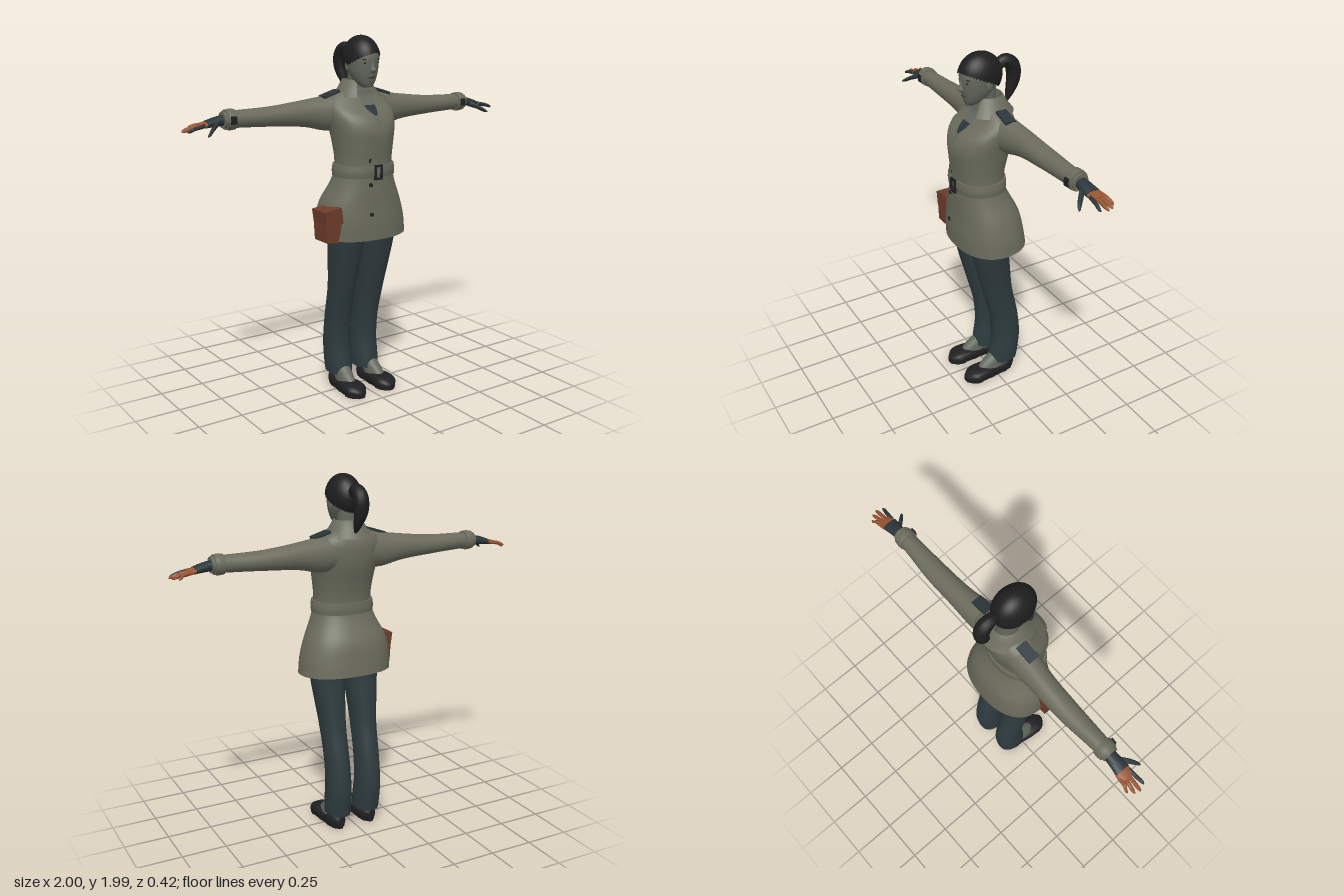
import * as THREE from 'three';
import { toCreasedNormals } from 'three/addons/utils/BufferGeometryUtils.js';

const mat = (name, color, side = THREE.FrontSide) => {
  const m = new THREE.MeshStandardMaterial({ color, side });
  m.name = name;
  return m;
};

// Smooth interpolation of sections [t, centreA, centreB, radiusA, radiusB]
const spline = (secs) =>
  new THREE.CubicInterpolant(secs.map((s) => s[0]), secs.flatMap((s) => s.slice(1)), 4);

// Skin through superellipse rings along 'x', 'y' or 'z'; side -1 mirrors in x
function loft(axis, secs, { n = 2, caps = true, side = 1, rows = secs.length * 4, seg = 28, rule } = {}) {
  const pos = [], idx = [], f = spline(secs), t0 = secs[0][0], t1 = secs.at(-1)[0];
  const put = (t, a, b) => {
    const p = axis === 'x' ? [t, a, b] : axis === 'y' ? [a, t, b] : [a, b, t];
    if (rule) rule(p);
    pos.push(p[0] * side, p[1], p[2]);
  };
  const flip = (axis === 'y') !== (side < 0);
  const tri = (a, b, c) => idx.push(a, ...(flip ? [c, b] : [b, c]));
  const pow = (v) => Math.sign(v) * Math.abs(v) ** (2 / n);
  for (let i = 0; i <= rows; i++) {
    const t = t0 + ((t1 - t0) * i) / rows, [a, b, ra, rb] = f.evaluate(t);
    for (let j = 0; j < seg; j++) {
      const w = (j / seg) * Math.PI * 2;
      put(t, a + ra * pow(Math.cos(w)), b + rb * pow(Math.sin(w)));
      if (i === rows) continue;
      const p = i * seg + j, q = i * seg + ((j + 1) % seg);
      tri(p, q, q + seg);
      tri(p, q + seg, p + seg);
    }
  }
  if (caps) {
    const c = pos.length / 3, last = rows * seg;
    put(t0, secs[0][1], secs[0][2]);
    put(t1, secs.at(-1)[1], secs.at(-1)[2]);
    for (let j = 0; j < seg; j++) {
      const k = (j + 1) % seg;
      tri(c, k, j);
      tri(c + 1, last + j, last + k);
    }
  }
  const g = new THREE.BufferGeometry();
  g.setAttribute('position', new THREE.Float32BufferAttribute(pos, 3));
  g.setIndex(idx);
  return toCreasedNormals(g, 1);
}

const COAT = [
  [0.915, 0.01, 0.01, 0.262, 0.19], [1.0, 0.005, 0.015, 0.256, 0.185], [1.1, 0, 0.022, 0.232, 0.172],
  [1.2, 0, 0.045, 0.185, 0.145], [1.26, 0, 0.055, 0.165, 0.132], [1.33, 0, 0.055, 0.158, 0.132],
  [1.42, 0, 0.05, 0.166, 0.145], [1.5, 0, 0.04, 0.178, 0.157], [1.57, 0, 0.02, 0.19, 0.147],
  [1.63, 0, -0.012, 0.19, 0.112], [1.67, 0, -0.022, 0.16, 0.088], [1.71, 0, -0.015, 0.085, 0.07],
];
const N = 2.3, coatCurve = spline(COAT);
const frontZ = (x, y) => {
  const [cx, cz, rx, rz] = coatCurve.evaluate(y);
  return cz + rz * Math.max(0, 1 - Math.abs((x - cx) / rx) ** N) ** (1 / N);
};

// Thin cloth patch lying on the coat front; rows are [y, xLeft, xRight], top to bottom
function drape(rows, lift) {
  const g = new THREE.PlaneGeometry(1, 1, 8, 24), p = g.attributes.position, uv = g.attributes.uv;
  for (let i = 0; i < p.count; i++) {
    const t = (1 - uv.getY(i)) * (rows.length - 1), k = Math.min(rows.length - 2, Math.floor(t));
    const [y, a, b] = rows[k].map((v, m) => THREE.MathUtils.lerp(v, rows[k + 1][m], t - k));
    const x = THREE.MathUtils.lerp(a, b, uv.getX(i));
    p.setXYZ(i, x, y, frontZ(x, y) + lift);
  }
  g.computeVertexNormals();
  return g;
}

export function createModel() {
  const root = new THREE.Group();
  const coat = mat('coat cloth', 0x6a6b5c, THREE.DoubleSide);
  const skin = mat('skin', 0x63685d, THREE.DoubleSide);
  const trouser = mat('trouser cloth', 0x2e3b3f);
  const slate = mat('slate cloth', 0x2b3539, THREE.DoubleSide);
  const hair = mat('hair', 0x1e1e1f, THREE.DoubleSide);
  const dark = mat('dark leather', 0x202022);
  const brown = mat('brown leather', 0x6e3c2b);
  const warm = mat('hand skin', 0x96532f);
  const lip = mat('lips', 0x4b4038);
  const add = (name, geo, m, x = 0, y = 0, z = 0) => {
    const mesh = new THREE.Mesh(geo, m);
    mesh.name = name;
    mesh.position.set(x, y, z);
    root.add(mesh);
    return mesh;
  };

  // Coat, belt, collar and lapels
  add('coat', loft('y', COAT, { n: N, caps: false, seg: 48, rule: (p) => {
    if (p[1] < 1) p[1] -= (1 - p[1]) * p[2] * 0.6;
  } }), coat);
  add('belt', loft('y', [[1.245, 0, 0.055, 0.172, 0.138], [1.275, 0, 0.056, 0.174, 0.142],
    [1.31, 0, 0.056, 0.168, 0.14]], { n: N, seg: 40 }), coat);
  add('collar', new THREE.LatheGeometry([[0.066, 1.68], [0.066, 1.745], [0.076, 1.755], [0.1, 1.71], [0.135, 1.665]]
    .map((p) => new THREE.Vector2(...p)), 32, 0.55, Math.PI * 2 - 1.1), coat, 0, 0, -0.012);
  add('neckline', drape([[1.7, -0.05, 0.05], [1.62, -0.045, 0.05], [1.52, -0.005, 0.012]], 0.005), skin);
  add('scarf', drape([[1.625, -0.035, 0.035], [1.605, -0.03, 0.03], [1.575, -0.004, 0.012]], 0.009), slate);
  add('rightLapel', drape([[1.69, -0.085, -0.048], [1.6, -0.14, -0.036], [1.47, -0.01, 0.03]], 0.012), coat);
  add('leftLapel', drape([[1.69, 0.048, 0.085], [1.6, 0.04, 0.145], [1.47, -0.005, 0.055], [1.33, -0.05, -0.03]], 0.014), coat);
  add('frontFlap', drape([[1.24, -0.045, 0.06], [0.93, -0.045, 0.06]], 0.006), coat);

  // Buckle and buttons
  const frame = new THREE.Shape([[-0.024, -0.04], [0.024, -0.04], [0.024, 0.04], [-0.024, 0.04]]
    .map((p) => new THREE.Vector2(...p)));
  frame.holes.push(new THREE.Path([[-0.014, -0.029], [-0.014, 0.029], [0.014, 0.029], [0.014, -0.029]]
    .map((p) => new THREE.Vector2(...p))));
  add('buckle', new THREE.ExtrudeGeometry(frame, { depth: 0.012, bevelEnabled: false }), dark, 0, 1.275, 0.194);
  for (const y of [1.34, 1.21, 1.05]) {
    const b = new THREE.CylinderGeometry(0.011, 0.011, 0.008, 12).rotateX(Math.PI / 2);
    add('button', b, dark, -0.045, y, frontZ(-0.045, y) + 0.008);
  }

  // Bag on the right hip
  const bag = new THREE.BoxGeometry(0.095, 0.17, 0.125, 1, 2, 1), bp = bag.attributes.position;
  for (let i = 0; i < bp.count; i++) if (bp.getY(i) < -0.05) bp.setX(i, bp.getX(i) * 0.75);
  bag.computeVertexNormals();
  add('bag', bag, brown, -0.247, 0.995, 0.08).rotation.z = -0.08;
  add('bagFlap', new THREE.BoxGeometry(0.105, 0.09, 0.132), brown, -0.245, 1.045, 0.08).rotation.z = 0.14;

  // Head, neck and face
  add('neck', loft('y', [[1.62, 0, 0, 0.06, 0.07], [1.7, 0, 0, 0.05, 0.055], [1.8, 0, 0.005, 0.052, 0.06]]), skin);
  add('head', loft('y', [[1.718, 0, 0.09, 0.022, 0.028], [1.735, 0, 0.075, 0.042, 0.05], [1.78, 0, 0.056, 0.066, 0.08],
    [1.83, 0, 0.043, 0.078, 0.1], [1.88, 0, 0.038, 0.081, 0.106], [1.94, 0, 0.035, 0.066, 0.085]], { n: 2.2 }), skin);
  add('nose', loft('y', [[1.795, 0, 0.138, 0.014, 0.012], [1.808, 0, 0.145, 0.016, 0.02],
    [1.83, 0, 0.14, 0.009, 0.014], [1.86, 0, 0.138, 0.007, 0.008]], { seg: 12 }), skin);
  add('lips', new THREE.SphereGeometry(1, 12, 8).scale(0.022, 0.008, 0.008), lip, 0, 1.773, 0.132);
  for (const s of [1, -1]) {
    add('eye', new THREE.SphereGeometry(1, 12, 8).scale(0.014, 0.006, 0.005), dark, s * 0.034, 1.848, 0.131);
    add('eyebrow', new THREE.BoxGeometry(0.034, 0.006, 0.008), hair, s * 0.036, 1.866, 0.132).rotation.y = s * 0.35;
    add('ear', new THREE.SphereGeometry(1, 12, 10).scale(0.009, 0.028, 0.017), skin, s * 0.083, 1.83, 0.025);
  }

  // Hair cap: short at the swept fringe, long at the nape
  const cap = new THREE.SphereGeometry(1, 40, 24), cp = cap.attributes.position;
  for (let i = 0; i < cp.count; i++) {
    const phi = cap.attributes.uv.getX(i) * Math.PI * 2, c = Math.cos(phi), s = Math.sin(phi);
    const th = (1 - cap.attributes.uv.getY(i)) * (1.82 - 0.47 * s + 0.1 * c);
    cp.setXYZ(i, -c * Math.sin(th) * 0.093, Math.cos(th) * 0.122, s * Math.sin(th) * 0.122);
  }
  cap.computeVertexNormals();
  add('hairCap', cap, hair, 0, 1.866, 0.035);
  const path = new THREE.CatmullRomCurve3([[0, 1.89, -0.06], [0, 1.915, -0.11], [0, 1.885, -0.155], [0, 1.82, -0.165],
    [0.005, 1.755, -0.145], [0.01, 1.69, -0.115]].map((p) => new THREE.Vector3(...p)));
  const tail = new THREE.TubeGeometry(path, 30, 1, 14), tp = tail.attributes.position, v = new THREE.Vector3();
  for (let i = 0; i < tp.count; i++) {
    const t = Math.floor(i / 15) / 30, c = path.getPointAt(t);
    v.fromBufferAttribute(tp, i).sub(c).multiplyScalar(0.004 + 0.036 * Math.sin(Math.PI * (0.15 + 0.85 * t)) ** 0.8).add(c);
    tp.setXYZ(i, v.x, v.y, v.z);
  }
  tail.computeVertexNormals();
  add('ponytail', tail, hair);
  add('hairTie', new THREE.TorusGeometry(0.022, 0.009, 8, 18), dark, 0, 1.9, -0.083);

  // Arms, hands, legs and feet, mirrored
  for (const side of [1, -1]) {
    const tag = side > 0 ? 'left' : 'right';
    const part = (name, axis, secs, m, o) => add(tag + name, loft(axis, secs, { side, ...o }), m);
    part('Sleeve', 'x', [[0.1, 1.585, -0.025, 0.1, 0.085], [0.19, 1.58, -0.035, 0.093, 0.075], [0.3, 1.585, -0.045, 0.073, 0.064],
      [0.5, 1.583, -0.05, 0.053, 0.058], [0.7, 1.585, -0.046, 0.045, 0.046], [0.785, 1.585, -0.046, 0.042, 0.043]], coat);
    part('CuffStrap', 'x', [[0.72, 1.585, -0.046, 0.052, 0.052], [0.745, 1.585, -0.046, 0.054, 0.054],
      [0.77, 1.585, -0.046, 0.051, 0.051]], coat);
    add(tag + 'CuffBuckle', new THREE.BoxGeometry(0.03, 0.04, 0.01), dark, side * 0.745, 1.585, 0.008);
    add(tag + 'Epaulette', new THREE.BoxGeometry(0.1, 0.014, 0.06), slate, side * 0.165, 1.682, -0.02).rotation.z = -side * 0.3;
    part('Wrist', 'x', [[0.77, 1.585, -0.048, 0.028, 0.032], [0.83, 1.577, -0.05, 0.024, 0.036],
      [0.875, 1.568, -0.052, 0.018, 0.042]], slate);
    part('Palm', 'x', [[0.87, 1.569, -0.054, 0.016, 0.04], [0.89, 1.565, -0.055, 0.015, 0.042],
      [0.915, 1.56, -0.055, 0.012, 0.04]], warm);
    part('Thumb', 'x', [[0.82, 1.57, -0.03, 0.017, 0.018], [0.86, 1.55, 0.008, 0.013, 0.016],
      [0.89, 1.53, 0.034, 0.01, 0.011], [0.905, 1.522, 0.044, 0.004, 0.005]], slate, { seg: 12 });
    [[-0.086, -0.1, 0.965], [-0.065, -0.076, 0.99], [-0.044, -0.048, 1], [-0.024, -0.014, 0.985]].forEach(([z0, z1, x], i) => {
      part('Finger', 'x', [[0.89, 1.565, z0, 0.011, 0.011], [0.94, 1.556, (z0 + z1) / 2, 0.01, 0.01],
        [x - 0.012, 1.545, z1, 0.008, 0.008], [x, 1.541, z1, 0.003, 0.003]], i < 3 ? warm : slate, { seg: 10 });
    });
    part('Trouser', 'y', [[0.085, 0.09, -0.06, 0.068, 0.088], [0.13, 0.091, -0.064, 0.071, 0.09], [0.25, 0.093, -0.077, 0.069, 0.087],
      [0.4, 0.094, -0.063, 0.067, 0.085], [0.6, 0.097, -0.016, 0.07, 0.088], [0.75, 0.1, 0.013, 0.082, 0.098],
      [0.9, 0.102, 0.037, 0.096, 0.104], [1.05, 0.1, 0.04, 0.1, 0.11]], trouser, { n: 2.2 });
    part('Foot', 'y', [[0.03, 0.1, 0.03, 0.046, 0.1], [0.08, 0.099, 0.012, 0.042, 0.08],
      [0.13, 0.095, -0.03, 0.04, 0.06], [0.18, 0.093, -0.06, 0.036, 0.045]], skin);
    part('Shoe', 'z', [[-0.122, 0.098, 0.038, 0.02, 0.026], [-0.09, 0.098, 0.037, 0.043, 0.038], [0, 0.1, 0.031, 0.05, 0.032],
      [0.09, 0.103, 0.034, 0.063, 0.035], [0.16, 0.103, 0.029, 0.054, 0.029], [0.195, 0.1, 0.022, 0.018, 0.014]],
    dark, { n: 2.6, rule: (p) => { p[1] = p[1] < 0.015 ? 0 : p[1]; } });
  }
  return root;
}
